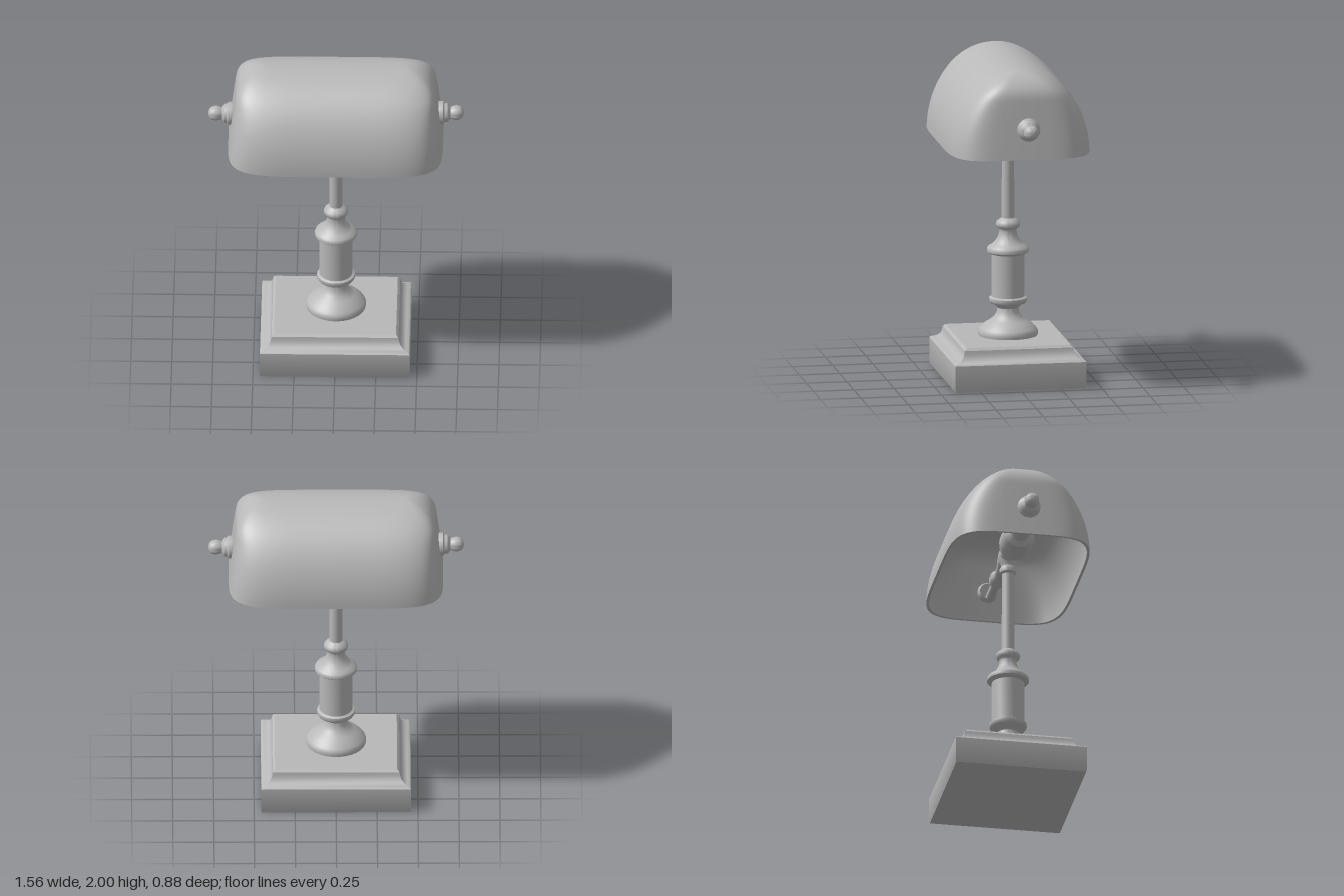
import * as THREE from 'three';
import { toCreasedNormals } from 'three/addons/utils/BufferGeometryUtils.js';

const metal = new THREE.MeshStandardMaterial({ color: 0xb8b8b8 });
metal.name = 'plain grey';

// Skin over closed rings of [x, y, z] points
function loft(rings, crease) {
  const n = rings[0].length, index = [];
  for (let j = 0; j < rings.length - 1; j++) {
    for (let i = 0; i < n; i++) {
      const a = j * n + i, b = j * n + (i + 1) % n;
      index.push(a, a + n, b, b, a + n, b + n);
    }
  }
  const g = new THREE.BufferGeometry();
  g.setAttribute('position', new THREE.Float32BufferAttribute(rings.flat(2), 3));
  g.setIndex(index);
  return toCreasedNormals(g, crease);
}

// Turned part from [radius, height] pairs
function turned(points, segments = 40) {
  const g = new THREE.LatheGeometry(points.map(([r, y]) => new THREE.Vector2(r, y)), segments);
  return toCreasedNormals(g, 0.7);
}

function rectRing(hx, hz, y) {
  return [[hx, y, -hz], [hx, y, hz], [-hx, y, hz], [-hx, y, -hz]];
}

// Rounded-rectangle outline (superellipse)
function roundedRing(a, b, y, n = 80) {
  const pow = (v) => Math.sign(v) * Math.pow(Math.abs(v), 0.4);
  return Array.from({ length: n }, (_, i) => {
    const t = (i / n) * Math.PI * 2;
    return [a * pow(Math.cos(t)), y, b * pow(Math.sin(t))];
  });
}

// One skin of the shade, from the open rim up to the ridge
function shadeRings(inset) {
  const rings = [], steps = 28;
  for (let k = 0; k <= steps; k++) {
    const phi = (k / steps) * Math.PI / 2, s = Math.sin(phi);
    const u = Math.max(0, (s - 0.71) / 0.29);
    const a = 0.655 - 0.06 * s - 0.18 * (1 - Math.sqrt(Math.max(0, 1 - u * u)));
    const b = k === steps ? 0 : (0.44 - inset) * Math.cos(phi);
    rings.push(roundedRing(a - inset, b, 1.48 + (0.52 - inset) * s));
  }
  return rings;
}

export function createModel() {
  const lamp = new THREE.Group();
  lamp.name = 'deskLamp';
  const add = (name, geometry, x = 0, y = 0, z = 0) => {
    const m = new THREE.Mesh(geometry, metal);
    m.name = name;
    m.position.set(x, y, z);
    lamp.add(m);
    return m;
  };

  // Stepped plinth: [inset from the edge, height]
  const plinth = [[0.004, 0], [0, 0.008], [0, 0.165], [0.006, 0.172], [0.025, 0.178],
    [0.045, 0.188], [0.06, 0.205], [0.067, 0.225], [0.07, 0.245], [0.085, 0.26]];
  add('base', loft([
    rectRing(0, 0, 0),
    ...plinth.map(([d, y]) => rectRing(0.457 - d, 0.407 - d, y)),
    rectRing(0, 0, 0.26),
  ], 0.6));

  // Turned foot, column and collars
  add('column', turned([
    [0.18, 0.255], [0.183, 0.27], [0.183, 0.288], [0.172, 0.305], [0.16, 0.315], [0.148, 0.33],
    [0.115, 0.35], [0.085, 0.375], [0.068, 0.405], [0.065, 0.43], [0.08, 0.448], [0.108, 0.46],
    [0.117, 0.475], [0.115, 0.492], [0.1, 0.5], [0.1, 0.765], [0.115, 0.77], [0.128, 0.78],
    [0.13, 0.795], [0.123, 0.81], [0.1, 0.823], [0.078, 0.845], [0.06, 0.875], [0.052, 0.91],
    [0.055, 0.922], [0.07, 0.933], [0.075, 0.95], [0.069, 0.968], [0.052, 0.98], [0.038, 0.99],
  ], 48));
  add('pole', new THREE.CylinderGeometry(0.037, 0.039, 0.64, 32), 0, 1.29, 0);

  // Joint at the top of the pole
  add('poleCollar', turned([[0.037, 1.5], [0.05, 1.51], [0.052, 1.535], [0.042, 1.55],
    [0.045, 1.57], [0.06, 1.595], [0.06, 1.63], [0, 1.66]]));

  // Cross arm: flared at the joint, reaching both ends of the shade
  const arm = add('crossArm', turned([
    [0.028, -0.64], [0.028, -0.4], [0.05, -0.38], [0.052, -0.33], [0.034, -0.3], [0.036, -0.2],
    [0.052, -0.08], [0.06, 0], [0.052, 0.08], [0.045, 0.2], [0.03, 0.4], [0.028, 0.64],
  ]), 0, 1.63, 0);
  arm.rotation.z = Math.PI / 2;

  // Lamp socket and bulb on one side
  const socket = add('bulbSocket', turned([
    [0, 0.12], [0.045, 0.13], [0.06, 0.17], [0.09, 0.2], [0.1, 0.25], [0.1, 0.36],
    [0.09, 0.4], [0.06, 0.42], [0.062, 0.46], [0.07, 0.5], [0.066, 0.54], [0.04, 0.57], [0, 0.58],
  ]), 0, 1.595, 0);
  socket.rotation.z = Math.PI / 2;

  // Hollow shade: inner skin downwards, rim, outer skin upwards
  add('shade', loft([...shadeRings(0.016).reverse(), ...shadeRings(0)], 0.8));

  // Round finials at both ends
  const finial = turned([
    [0.05, 0.6], [0.068, 0.622], [0.07, 0.635], [0.07, 0.655], [0.06, 0.664], [0.058, 0.682],
    [0.045, 0.694], [0.035, 0.7], [0.042, 0.715], [0.046, 0.735], [0.042, 0.757], [0.03, 0.773],
    [0.015, 0.78], [0, 0.782],
  ], 32);
  for (const side of [1, -1]) {
    const f = add(side > 0 ? 'leftFinial' : 'rightFinial', finial, 0, 1.665, -side * 0.015);
    f.rotation.z = -side * Math.PI / 2;
  }
  return lamp;
}
